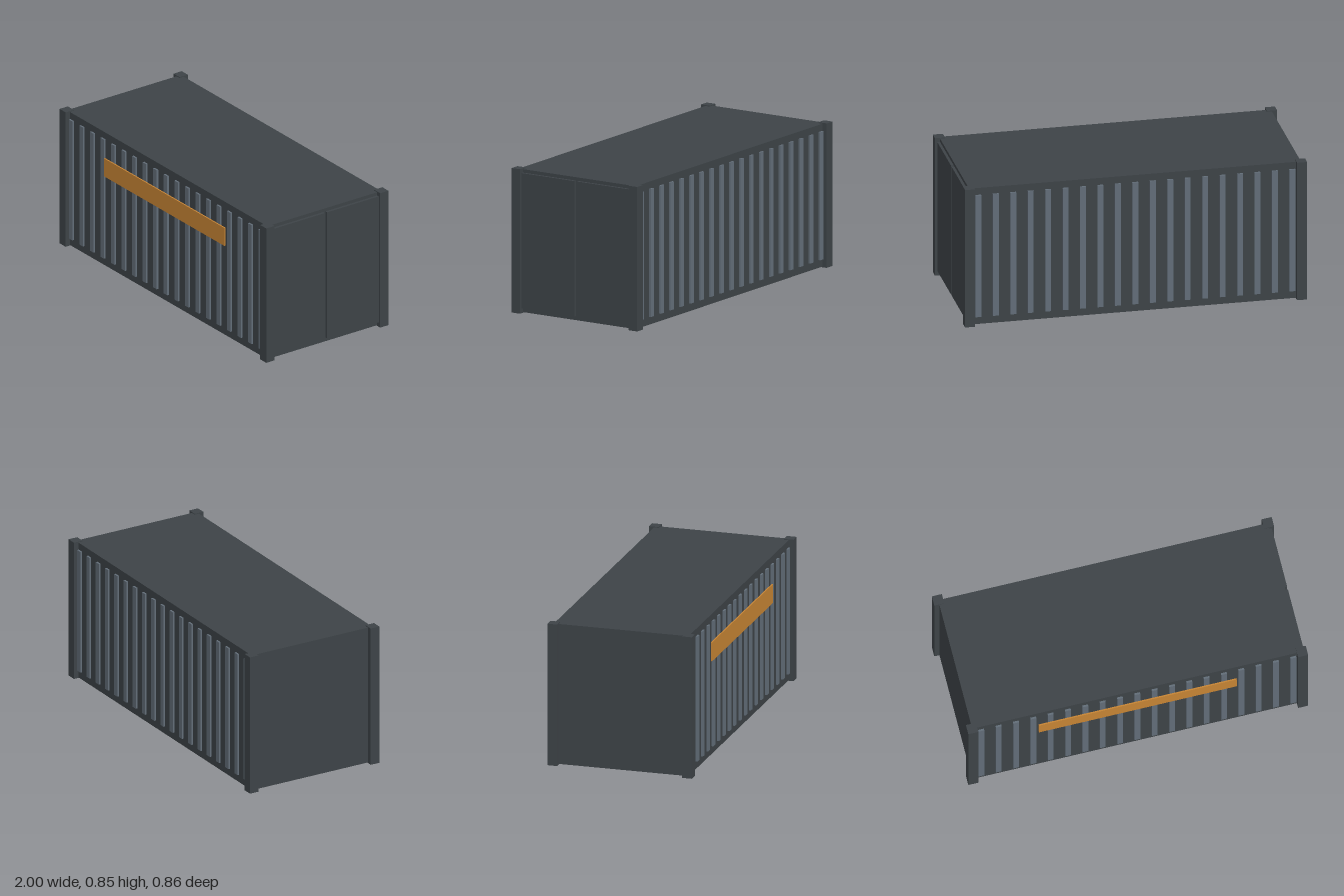
import * as THREE from 'three';

export function createModel() {
  const model = new THREE.Group();
  model.name = 'shippingContainer';

  const paint = (name, color) => {
    const m = new THREE.MeshStandardMaterial({ color });
    m.name = name;
    return m;
  };
  const steel = paint('dark steel', 0x3d4347);
  const ribPaint = paint('blue grey rib', 0x626d78);
  const orange = paint('orange stripe', 0xc68434);

  // Box given by its limits on each axis
  function box(name, material, [x0, x1], [y0, y1], [z0, z1], parent = model) {
    const mesh = new THREE.Mesh(new THREE.BoxGeometry(x1 - x0, y1 - y0, z1 - z0), material);
    mesh.position.set((x0 + x1) / 2, (y0 + y1) / 2, (z0 + z1) / 2);
    mesh.name = name;
    parent.add(mesh);
    return mesh;
  }

  // Main hull
  box('body', steel, [-0.97, 0.97], [0.004, 0.842], [-0.403, 0.403]);

  // Corner posts, slightly proud of the hull on every side
  const posts = new THREE.Group();
  posts.name = 'cornerPosts';
  model.add(posts);
  for (const sx of [-1, 1]) {
    for (const sz of [-1, 1]) {
      const post = box('cornerPost', steel, [0.941, 1], [0, 0.847], [0.374, 0.432], posts);
      post.position.x *= sx;
      post.position.z *= sz;
    }
  }

  // Vertical ribs along both long walls
  const ribs = new THREE.Group();
  ribs.name = 'wallRibs';
  model.add(ribs);
  for (const side of [-1, 1]) {
    for (let i = -9; i <= 9; i++) {
      const x = i * 0.102;
      const rib = box('rib', ribPaint, [x - 0.017, x + 0.017], [0.05, 0.8], [0.395, 0.414], ribs);
      rib.position.z *= side;
    }
  }

  // Twin doors on the +x end, with a narrow gap between them
  box('leftDoor', steel, [0.965, 0.986], [0.028, 0.822], [0.008, 0.374]);
  box('rightDoor', steel, [0.965, 0.986], [0.028, 0.822], [-0.374, -0.008]);

  // Plain stripe plate across the front ribs
  box('stripePlate', orange, [-0.582, 0.582], [0.577, 0.69], [0.415, 0.423]);

  return model;
}
